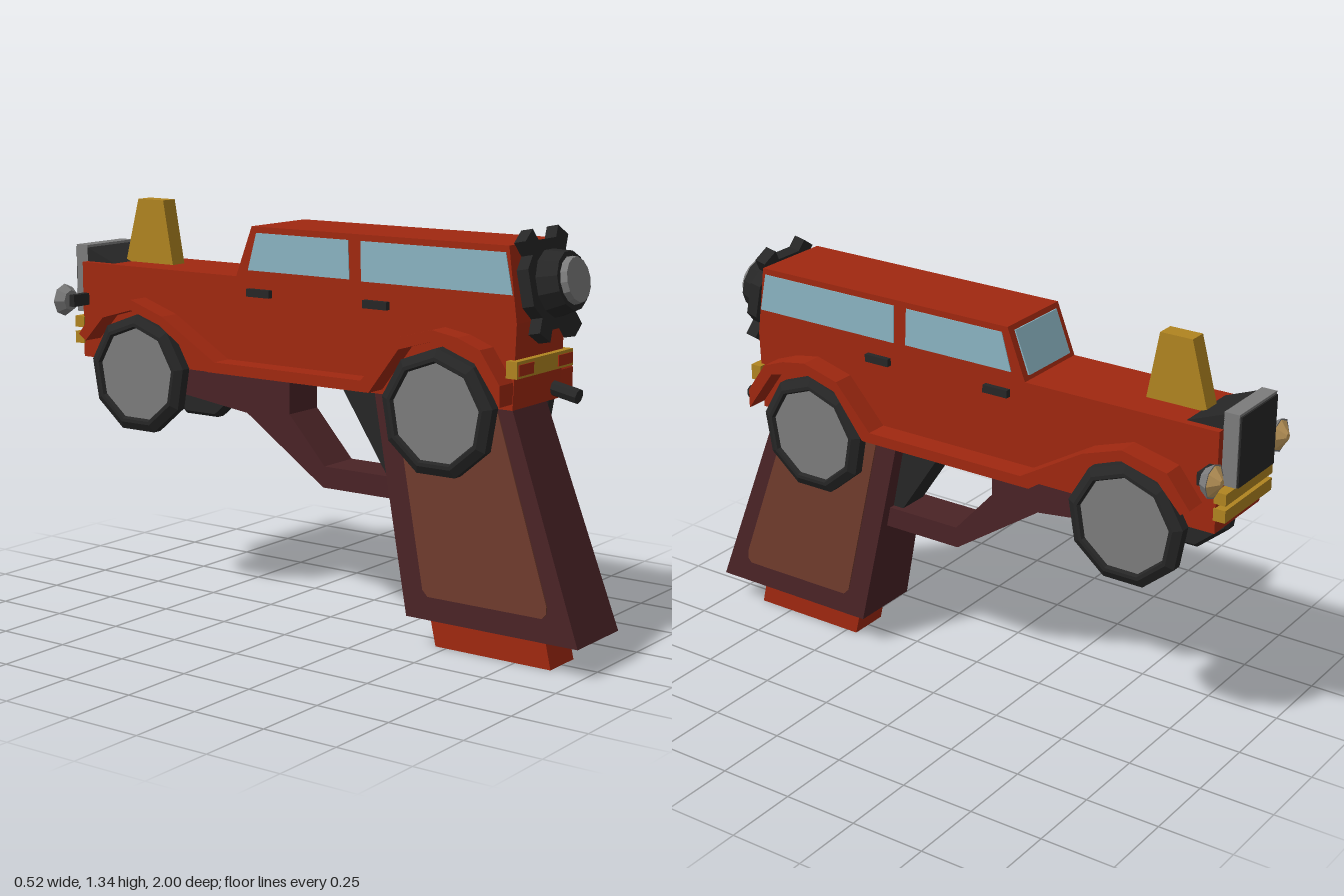
import * as THREE from 'three';

const paint = (name, color) => {
  const m = new THREE.MeshStandardMaterial({ color });
  m.name = name;
  return m;
};

export function createModel() {
  const red = paint('red paint', 0xa02810);
  const black = paint('black rubber', 0x262626);
  const gray = paint('gray metal', 0x7c7c7c);
  const gold = paint('gold metal', 0xb08420);
  const maroon = paint('dark grip', 0x4a2326);
  const brown = paint('brown panel', 0x6e3b2c);
  const glass = paint('window glass', 0x8ab4c2);
  const amber = paint('lamp lens', 0xc8a060);

  const model = new THREE.Group();
  model.name = 'carBlaster';

  // Faceted mesh
  function add(name, geometry, material, parent = model) {
    const g = geometry.index ? geometry.toNonIndexed() : geometry;
    g.computeVertexNormals();
    const mesh = new THREE.Mesh(g, material);
    mesh.name = name;
    parent.add(mesh);
    return mesh;
  }
  // Box given by its x, y and z ranges
  function box(name, material, [x0, x1], [y0, y1], [z0, z1], parent) {
    const g = new THREE.BoxGeometry(x1 - x0, y1 - y0, z1 - z0);
    g.translate((x0 + x1) / 2, (y0 + y1) / 2, (z0 + z1) / 2);
    return add(name, g, material, parent);
  }
  // Side profile of [z, y] points extruded across x
  function slab(points, x0, x1) {
    const shape = new THREE.Shape(points.map(([z, y]) => new THREE.Vector2(-z, y)));
    const g = new THREE.ExtrudeGeometry(shape, { depth: x1 - x0, bevelEnabled: false });
    return g.rotateY(Math.PI / 2).translate(x0, 0, 0);
  }
  // Widens a slab of half width 1 toward the foot of the grip
  function flare(g, extra) {
    const p = g.attributes.position;
    for (let i = 0; i < p.count; i++) {
      p.setX(i, p.getX(i) * (0.1 + (0.8 - p.getY(i)) * 0.036 + extra));
    }
    return g;
  }

  // Body shell
  add('body', slab([[0.77, 0.8], [0.78, 1.06], [0.75, 1.29], [-0.21, 1.29],
    [-0.275, 1.125], [-0.945, 1.125], [-0.945, 0.8]], -0.14, 0.14), red);

  // Fender band: over both wheels with a running board between
  const fender = [[0.77, 0.885], [0.7, 0.985], [0.62, 1.015], [0.53, 1.03], [0.4, 0.995], [0.27, 0.85],
    [-0.31, 0.85], [-0.53, 0.98], [-0.665, 1.025], [-0.82, 0.99], [-0.9, 0.89],
    [-0.87, 0.87], [-0.79, 0.955], [-0.665, 0.99], [-0.54, 0.95], [-0.34, 0.815],
    [0.3, 0.815], [0.41, 0.96], [0.53, 0.995], [0.67, 0.96], [0.77, 0.82]];
  const rearWindow = [[0.74, 1.27], [0.218, 1.27], [0.22, 1.145], [0.765, 1.145]];
  const frontWindow = [[0.17, 1.27], [-0.19, 1.27], [-0.225, 1.148], [0.175, 1.148]];

  // Tyre profile turned about the axle
  const tyreProfile = [[0, 0], [0.19, 0], [0.202, 0.012], [0.202, 0.045], [0.175, 0.06],
    [0.163, 0.06], [0.155, 0.045]].map(([r, h]) => new THREE.Vector2(r, h));

  for (const s of [1, -1]) {
    const side = s > 0 ? 'left' : 'right';
    const span = (a, b) => (s > 0 ? [a, b] : [-b, -a]);

    add(side + 'Fender', slab(fender, ...span(0.139, 0.215)), red);
    add(side + 'RearWindow', slab(rearWindow, ...span(0.138, 0.143)), glass);
    add(side + 'FrontWindow', slab(frontWindow, ...span(0.138, 0.143)), glass);
    for (const z of [0.235, -0.22]) {
      box(side + 'DoorHandle', black, span(0.139, 0.158), [1.065, 1.09], [z, z + 0.09]);
    }

    // Wheels
    for (const z of [0.529, -0.666]) {
      const wheel = new THREE.Group();
      wheel.name = side + (z > 0 ? 'RearWheel' : 'FrontWheel');
      wheel.position.set(s * 0.14, 0.77, z);
      wheel.rotation.y = s > 0 ? 0 : Math.PI;
      model.add(wheel);
      add('tyre', new THREE.LatheGeometry(tyreProfile, 9, -Math.PI / 2).rotateZ(-Math.PI / 2), black, wheel);
      add('hub', new THREE.CylinderGeometry(0.16, 0.16, 0.03, 18).rotateZ(-Math.PI / 2)
        .translate(0.033, 0, 0), gray, wheel);
    }

    // Headlight: bracket, rim and faceted lens
    const lamp = new THREE.Group();
    lamp.name = side + 'Headlight';
    model.add(lamp);
    box('bracket', black, span(0.135, 0.215), [0.98, 1.02], [-0.943, -0.918], lamp);
    add('rim', new THREE.CylinderGeometry(0.035, 0.055, 0.03, 8).rotateX(Math.PI / 2)
      .translate(s * 0.205, 1, -0.955), gray, lamp);
    add('lens', new THREE.CylinderGeometry(0.052, 0.012, 0.027, 8).rotateX(Math.PI / 2)
      .translate(s * 0.205, 1, -0.982), amber, lamp);

    // Tail light on the rear bumper
    box(side + 'TailLight', red, span(0.073, 0.157), [0.908, 0.942], [0.795, 0.802]);
  }

  // Windshield plate lying on the sloped pillar
  add('windshield', slab([[-0.218, 1.275], [-0.222, 1.275], [-0.275, 1.14], [-0.269, 1.14]],
    -0.115, 0.115), glass);

  // Axles
  for (const z of [0.529, -0.666]) {
    box('axle', black, [-0.145, 0.145], [0.71, 0.79], [z - 0.04, z + 0.04]);
  }

  // Bumpers
  box('rearBumper', gold, [-0.165, 0.165], [0.9, 0.952], [0.76, 0.798]);
  box('upperFrontBumper', gold, [-0.145, 0.145], [0.9, 0.938], [-0.98, -0.94]);
  box('lowerFrontBumper', gold, [-0.145, 0.145], [0.845, 0.885], [-0.98, -0.94]);

  // Grille with dark face and sloped cowl behind it
  box('grilleFrame', gray, [-0.115, 0.115], [0.95, 1.18], [-0.994, -0.944]);
  box('grilleFace', black, [-0.11, 0.11], [0.95, 1.172], [-1, -0.993]);
  add('grilleCowl', slab([[-0.81, 1.12], [-0.945, 1.172], [-0.945, 1.12]], -0.115, 0.115), black);

  // Hood sight
  add('sight', slab([[-0.635, 1.12], [-0.675, 1.34], [-0.785, 1.34], [-0.845, 1.12]], -0.03, 0.03), gold);

  // Tilted spare wheel with four lugs
  const spare = new THREE.Group();
  spare.name = 'spareWheel';
  spare.position.set(0, 1.167, 0.803);
  spare.rotation.x = -0.2;
  model.add(spare);
  const disc = (name, r0, r1, z0, z1, sides, material) => add(name,
    new THREE.CylinderGeometry(r1, r0, z1 - z0, sides).rotateY(Math.PI / sides)
      .rotateX(Math.PI / 2).translate(0, 0, (z0 + z1) / 2), material, spare);
  disc('spareTyre', 0.145, 0.145, -0.02, 0.02, 8, black);
  disc('spareRing', 0.105, 0.09, 0.02, 0.085, 12, black);
  disc('spareHub', 0.075, 0.068, 0.08, 0.105, 14, gray);
  for (const a of [57, 123, 237, 303]) {
    add('lug', new THREE.BoxGeometry(0.09, 0.06, 0.04).translate(0.137, 0, 0)
      .rotateZ(a * Math.PI / 180), black, spare);
  }

  // Exhaust pipe
  const pipe = add('exhaust', new THREE.CylinderGeometry(0.024, 0.024, 0.13, 8).rotateX(Math.PI / 2), black);
  pipe.position.set(0.1, 0.83, 0.795);
  pipe.rotation.x = 0.2;

  // Grip, side panels and magazine
  add('grip', flare(slab([[0.74, 0.81], [1, 0.1], [0.385, 0.1], [0.24, 0.81]], -1, 1), 0), maroon);
  add('gripPanels', flare(slab([[0.69, 0.8], [0.89, 0.215], [0.89, 0.19], [0.875, 0.175],
    [0.465, 0.175], [0.445, 0.195], [0.32, 0.8]], -1, 1), 0.004), brown);
  add('magazine', slab([[0.85, 0.12], [0.877, 0], [0.46, 0], [0.433, 0.12]], -0.07, 0.07), red);

  // Trigger guard and trigger
  add('triggerGuard', slab([[0.33, 0.455], [0.025, 0.455], [-0.285, 0.665], [-0.56, 0.7], [-0.62, 0.81],
    [-0.11, 0.81], [-0.11, 0.68], [0.03, 0.525], [0.33, 0.525]], -0.075, 0.075), maroon);
  add('trigger', slab([[0.26, 0.81], [0.32, 0.52], [0.262, 0.52], [0.07, 0.81]], -0.055, 0.055), black);

  return model;
}
